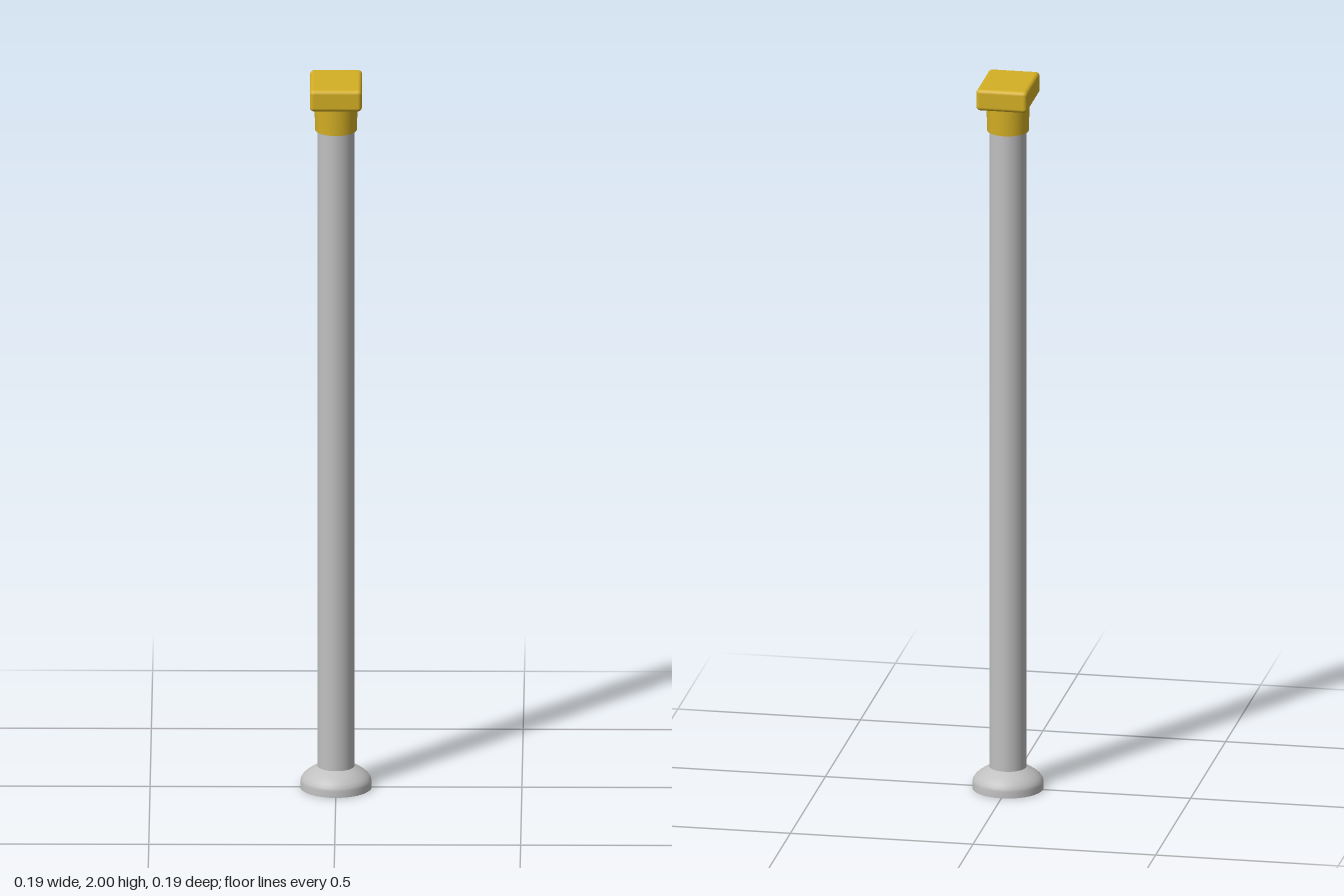
import * as THREE from 'three';
import { RoundedBoxGeometry } from 'three/addons/geometries/RoundedBoxGeometry.js';

export function createModel() {
  const group = new THREE.Group();
  const silver = new THREE.MeshStandardMaterial({ name: 'silver', color: 0xc0c0c0 });
  const gold = new THREE.MeshStandardMaterial({ name: 'gold', color: 0xd4af25 });

  const add = (name, geometry, material, y = 0) => {
    const mesh = new THREE.Mesh(geometry, material);
    mesh.name = name;
    mesh.position.y = y;
    group.add(mesh);
    return mesh;
  };

  // Flared foot with a softly rounded shoulder
  const footProfile = [
    [0.096, 0], [0.096, 0.018], [0.094, 0.026], [0.088, 0.035],
    [0.078, 0.044], [0.066, 0.052], [0.055, 0.058], [0.049, 0.061],
  ].map(([r, y]) => new THREE.Vector2(r, y));
  add('foot', new THREE.LatheGeometry(footProfile, 48), silver);
  add('footUnderside', new THREE.CircleGeometry(0.096, 48).rotateX(Math.PI / 2), silver);

  // Long straight shaft
  add('shaft', new THREE.CylinderGeometry(0.05, 0.05, 1.84, 48), silver, 0.96);

  // Slightly tapered collar and rounded rectangular cap
  add('collar', new THREE.CylinderGeometry(0.059, 0.056, 0.09, 48), gold, 1.905);
  add('cap', new RoundedBoxGeometry(0.14, 0.06, 0.192, 4, 0.011), gold, 1.97);

  return group;
}
